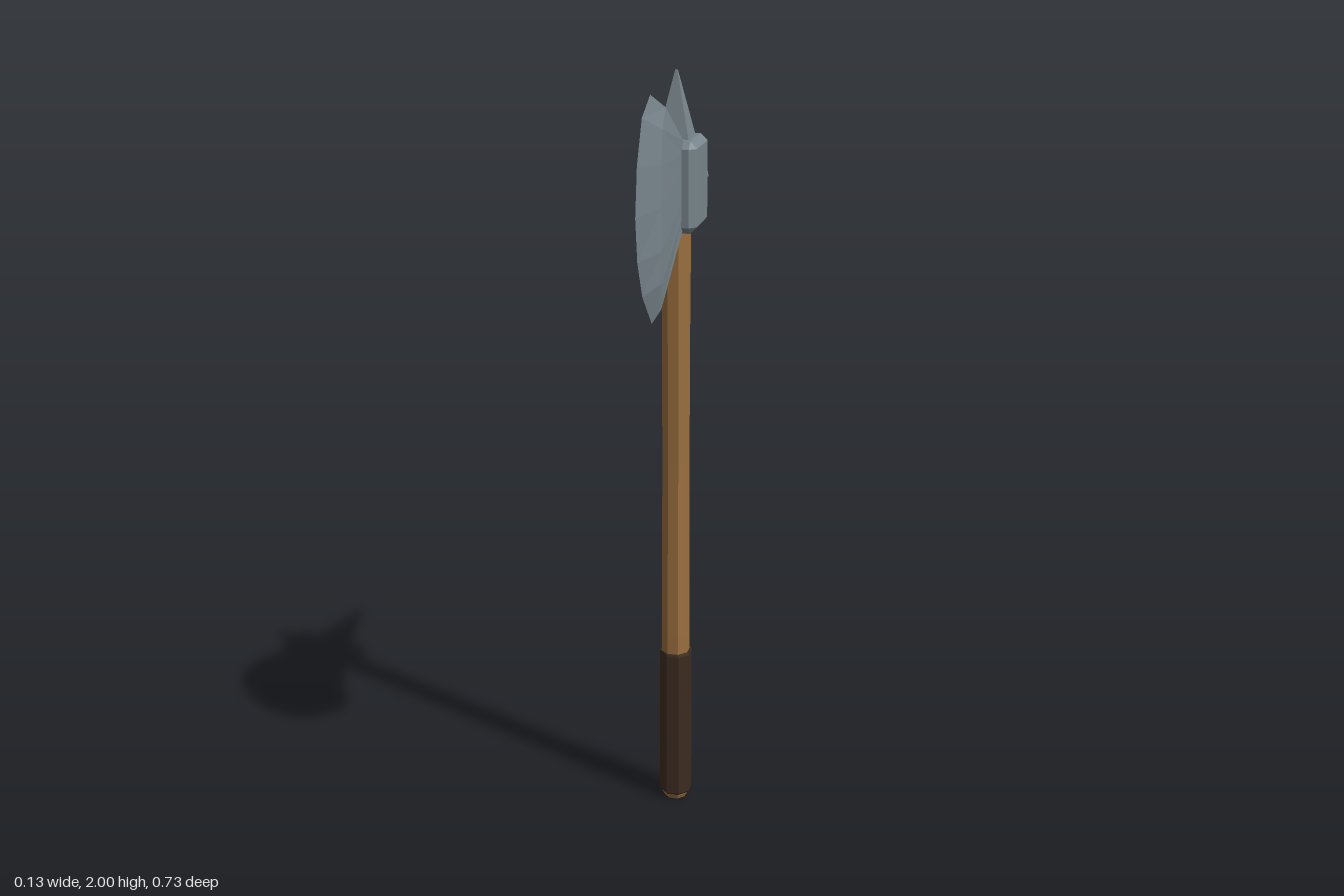
import * as THREE from 'three';
import { ConvexGeometry } from 'three/addons/geometries/ConvexGeometry.js';

const makeMaterial = (name, color) => {
  const m = new THREE.MeshStandardMaterial({ color, flatShading: true });
  m.name = name;
  return m;
};

// Box with every edge cut at 45 degrees
function chamferedBox(a, b, d, c) {
  const points = [];
  for (const x of [-1, 1]) for (const y of [-1, 1]) for (const z of [-1, 1]) {
    points.push(
      new THREE.Vector3(x * a, y * (b - c), z * (d - c)),
      new THREE.Vector3(x * (a - c), y * b, z * (d - c)),
      new THREE.Vector3(x * (a - c), y * (b - c), z * d));
  }
  return new ConvexGeometry(points);
}

// Eight-sided stacked profile of [radius, y], with flats facing the axes
function octagonRod(profile) {
  const points = profile.map(([r, y]) => new THREE.Vector2(r, y));
  return new THREE.LatheGeometry(points, 8, Math.PI / 8).toNonIndexed();
}

// Blade: rows run from top to bottom, each from socket to shoulder to cutting edge
function bladeGeometry() {
  const shoulder = [ // [half thickness, y, z]
    [0.018, 1.94, 0.14], [0.024, 1.9, 0.2], [0.027, 1.82, 0.222], [0.028, 1.725, 0.23],
    [0.028, 1.62, 0.228], [0.025, 1.54, 0.215], [0.018, 1.47, 0.19]];
  const edge = [ // [y, z]
    [1.98, 0.218], [1.94, 0.297], [1.84, 0.345], [1.725, 0.363],
    [1.62, 0.347], [1.53, 0.303], [1.44, 0.213]];
  const last = edge.length - 1;
  const at = (s, i, j) => {
    if (j === 0) return [s * 0.031, 1.84 - 0.21 * i / last, 0.01];
    if (j === 1) return [s * shoulder[i][0], shoulder[i][1], shoulder[i][2]];
    return [0, edge[i][0], edge[i][1]];
  };
  const pos = [];
  const tri = (a, b, c) => pos.push(...a, ...b, ...c);
  const quad = (a, b, c, d) => { tri(a, b, c); tri(a, c, d); };
  for (let i = 0; i < last; i++) for (let j = 0; j < 2; j++) {
    quad(at(1, i, j), at(1, i, j + 1), at(1, i + 1, j + 1), at(1, i + 1, j));
    quad(at(-1, i, j), at(-1, i + 1, j), at(-1, i + 1, j + 1), at(-1, i, j + 1));
  }
  // Upper and lower rims
  quad(at(-1, 0, 0), at(-1, 0, 1), at(1, 0, 1), at(1, 0, 0));
  tri(at(-1, 0, 1), at(1, 0, 2), at(1, 0, 1));
  quad(at(1, last, 0), at(1, last, 1), at(-1, last, 1), at(-1, last, 0));
  tri(at(1, last, 1), at(1, last, 2), at(-1, last, 1));
  const g = new THREE.BufferGeometry();
  g.setAttribute('position', new THREE.Float32BufferAttribute(pos, 3));
  g.computeVertexNormals();
  return g;
}

export function createModel() {
  const group = new THREE.Group();
  group.name = 'battleAxe';
  const steel = makeMaterial('steel', 0x78858c);
  const wood = makeMaterial('wood', 0x9c7040);
  const leather = makeMaterial('darkLeather', 0x3d2c21);
  const shaftZ = -0.045;

  const add = (name, geometry, material, x = 0, y = 0, z = 0) => {
    const mesh = new THREE.Mesh(geometry, material);
    mesh.name = name;
    mesh.position.set(x, y, z);
    group.add(mesh);
    return mesh;
  };

  // Handle
  add('shaft', octagonRod([[0, 0], [0.031, 0], [0.038, 0.014], [0.038, 0.5],
    [0.036, 1.0], [0.036, 1.3], [0.038, 1.65], [0, 1.65]]), wood, 0, 0, shaftZ);
  add('grip', octagonRod([[0.036, 0.013], [0.044, 0.022], [0.044, 0.445],
    [0.042, 0.452], [0.034, 0.452]]), leather, 0, 0, shaftZ);

  // Head
  add('headBlock', chamferedBox(0.065, 0.1125, 0.0775, 0.017), steel, 0, 1.7275, -0.0475);
  add('blade', bladeGeometry(), steel);

  // Square spike on top
  const topSpike = new THREE.CylinderGeometry(0.004, 0.04 * Math.SQRT2, 0.165, 4);
  topSpike.rotateY(Math.PI / 4);
  add('topSpike', topSpike, steel, 0, 1.9175, -0.0475);

  // Diamond-section spike at the back
  const backSpike = new THREE.CylinderGeometry(0.004, 0.065, 0.24, 4);
  backSpike.rotateX(-Math.PI / 2);
  add('backSpike', backSpike, steel, 0, 1.73, -0.244);

  return group;
}
